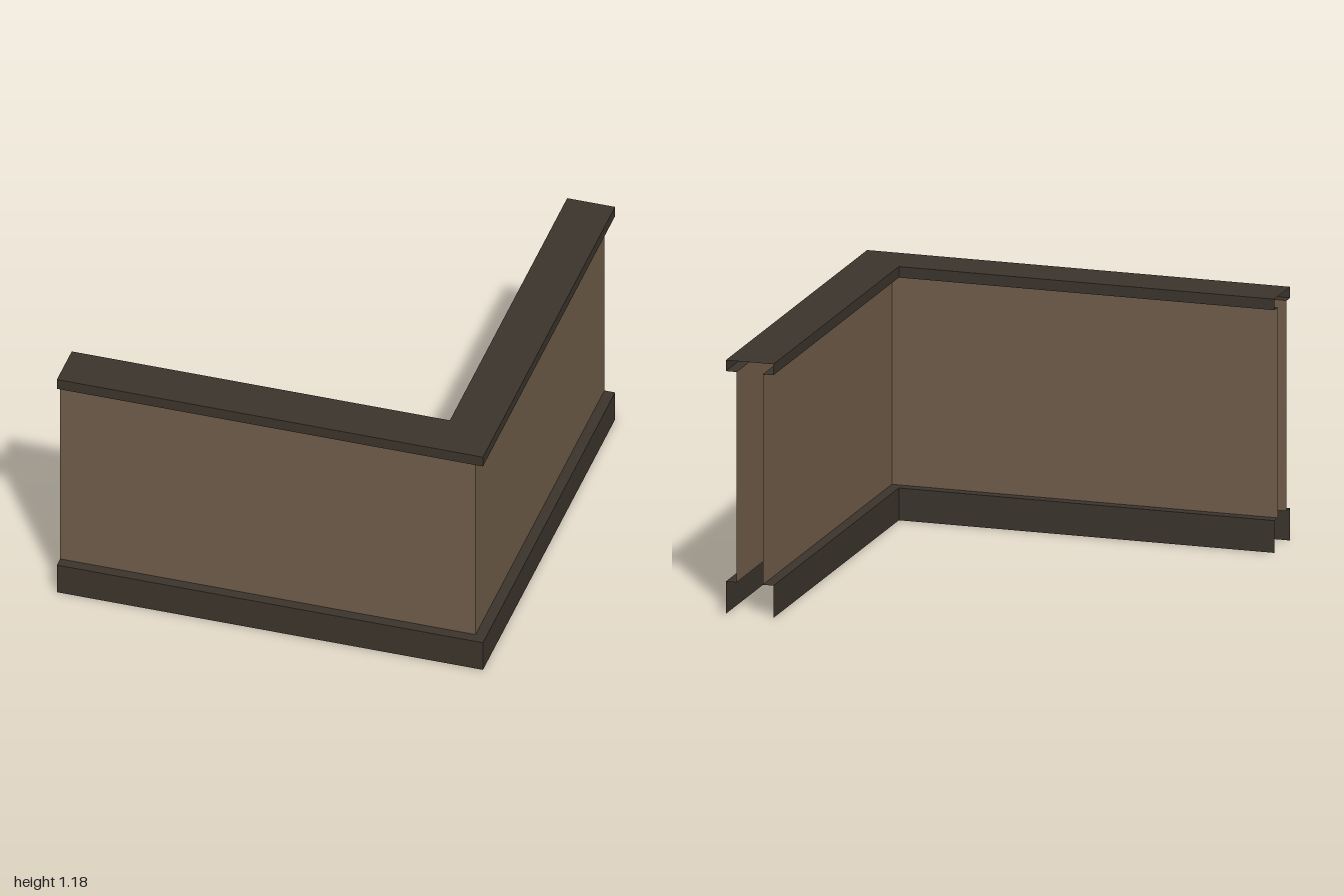
import * as THREE from 'three';

const WIDTH = 0.225, INSET = 0.05;
const BASE_TOP = 0.15, CAP_BOTTOM = 1.127, CAP_TOP = 1.178;

// Sweeps an open profile of [distance in from outer face, y] round the mitred L-shaped corner.
function sweepCorner(profile) {
  const positions = [];
  const path = ([d, y]) => [[-1, y, 1 - d], [1 - d, y, 1 - d], [1 - d, y, -1]];
  for (let i = 0; i < profile.length - 1; i++) {
    const low = path(profile[i]), high = path(profile[i + 1]);
    for (let s = 0; s < 2; s++) {
      positions.push(...low[s], ...low[s + 1], ...high[s + 1]);
      positions.push(...low[s], ...high[s + 1], ...high[s]);
    }
  }
  const geometry = new THREE.BufferGeometry();
  geometry.setAttribute('position', new THREE.Float32BufferAttribute(positions, 3));
  geometry.computeVertexNormals();
  return geometry;
}

export function createModel() {
  const group = new THREE.Group();
  group.name = 'cornerWall';

  const wallPaint = new THREE.MeshStandardMaterial({ color: 0x705d4a, side: THREE.DoubleSide });
  wallPaint.name = 'brown wall';
  const trimPaint = new THREE.MeshStandardMaterial({ color: 0x3c342c, side: THREE.DoubleSide });
  trimPaint.name = 'dark trim';

  const add = (name, profile, material) => {
    const mesh = new THREE.Mesh(sweepCorner(profile), material);
    mesh.name = name;
    group.add(mesh);
  };
  const innerFace = WIDTH - INSET;

  // Skirting boards with a narrow ledge; the wall is hollow and open at its ends and below
  add('outerSkirting', [[0, 0], [0, BASE_TOP], [INSET, BASE_TOP]], trimPaint);
  add('innerSkirting', [[innerFace, BASE_TOP], [WIDTH, BASE_TOP], [WIDTH, 0]], trimPaint);

  // Wall panels
  add('outerPanel', [[INSET, BASE_TOP], [INSET, CAP_BOTTOM]], wallPaint);
  add('innerPanel', [[innerFace, CAP_BOTTOM], [innerFace, BASE_TOP]], wallPaint);

  // Overhanging cap
  add('cap', [
    [INSET, CAP_BOTTOM], [0, CAP_BOTTOM], [0, CAP_TOP],
    [WIDTH, CAP_TOP], [WIDTH, CAP_BOTTOM], [innerFace, CAP_BOTTOM],
  ], trimPaint);

  return group;
}
